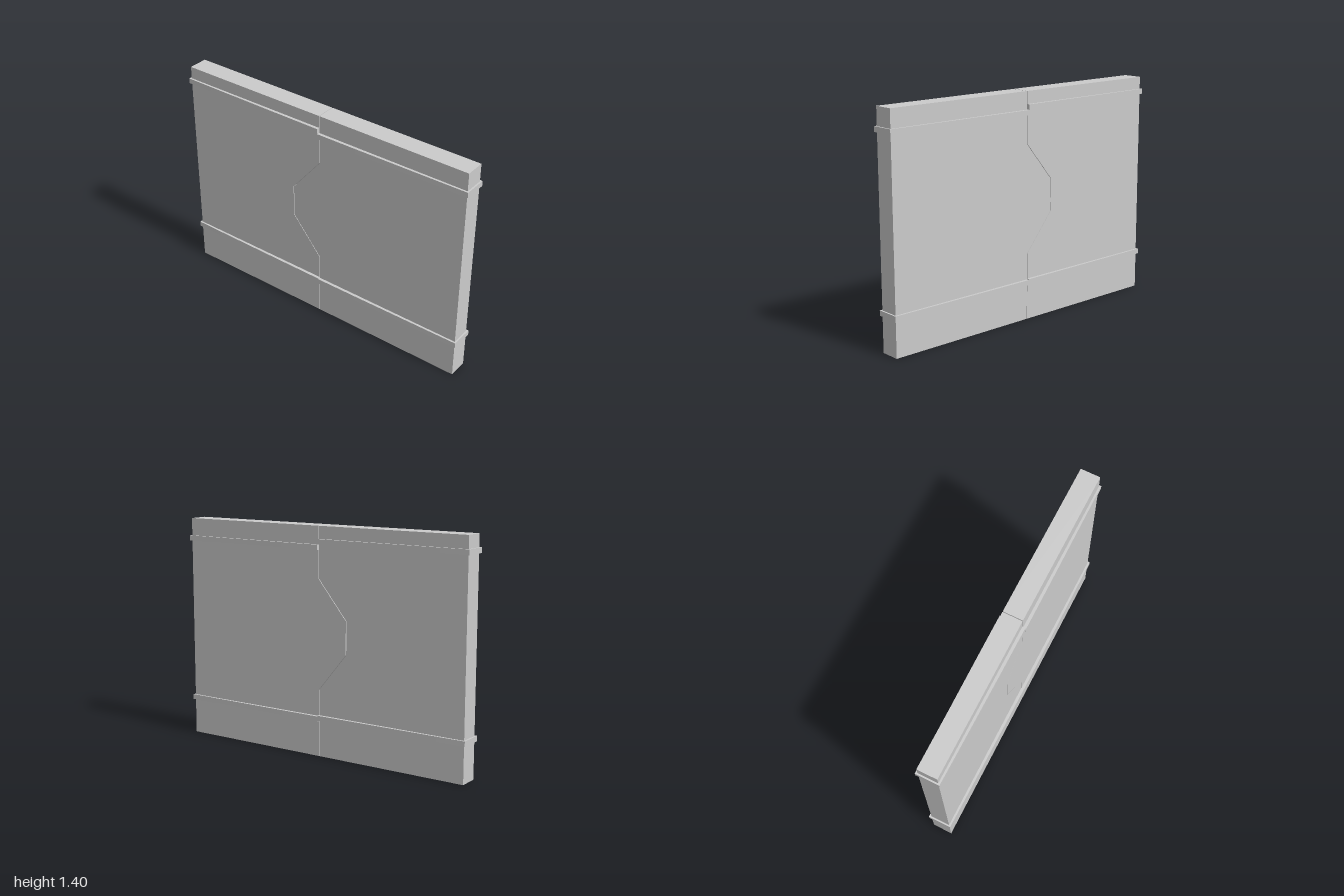
import * as THREE from 'three';

const material = new THREE.MeshStandardMaterial({ color: 0xcccccc, flatShading: true });

// Extrude an outline along its normal, centred on that axis
function slab(points, thickness, name) {
  const shape = new THREE.Shape(points.map(([x, y]) => new THREE.Vector2(x, y)));
  const geometry = new THREE.ExtrudeGeometry(shape, { depth: thickness, bevelEnabled: false });
  geometry.translate(0, 0, -thickness / 2);
  const mesh = new THREE.Mesh(geometry, material);
  mesh.name = name;
  return mesh;
}

export function createModel() {
  const group = new THREE.Group();
  group.name = 'interlockingPanel';

  const height = 1.405, edge = 0.99, depth = 0.123, gap = 0.002;

  // Interlocking seam, bottom to top
  const seam = [[0, 0], [0, 0.415], [-0.195, 0.65], [-0.195, 0.855], [0, 1.09], [0, height]];
  const seamAt = (offset) => seam.map(([x, y]) => [x + offset, y]);

  // Two panel halves separated by a hairline gap
  group.add(slab([[-edge, 0], ...seamAt(-gap), [-edge, height]], depth, 'rightPanel'));
  group.add(slab([[edge, height], ...seamAt(gap).reverse(), [edge, 0]], depth, 'leftPanel'));

  // Straps around each half, slightly thicker toward the seam
  const strapHeight = 0.032;
  const straps = [
    ['upperRightStrap', -1, 1.312],
    ['lowerRightStrap', -1, 0.242],
    ['upperLeftStrap', 1, 1.279],
    ['lowerLeftStrap', 1, 0.237],
  ];
  for (const [name, side, y] of straps) {
    const profile = [[0, -0.08], [0.27, -0.079], [0.55, -0.077], [0.82, -0.075], [1, -0.073]];
    const outline = [...profile, ...profile.map(([x, z]) => [x, -z]).reverse()]
      .map(([x, z]) => [x * side, z]);
    const strap = slab(outline, strapHeight, name);
    strap.rotation.x = -Math.PI / 2;
    strap.position.y = y;
    group.add(strap);
  }

  return group;
}
